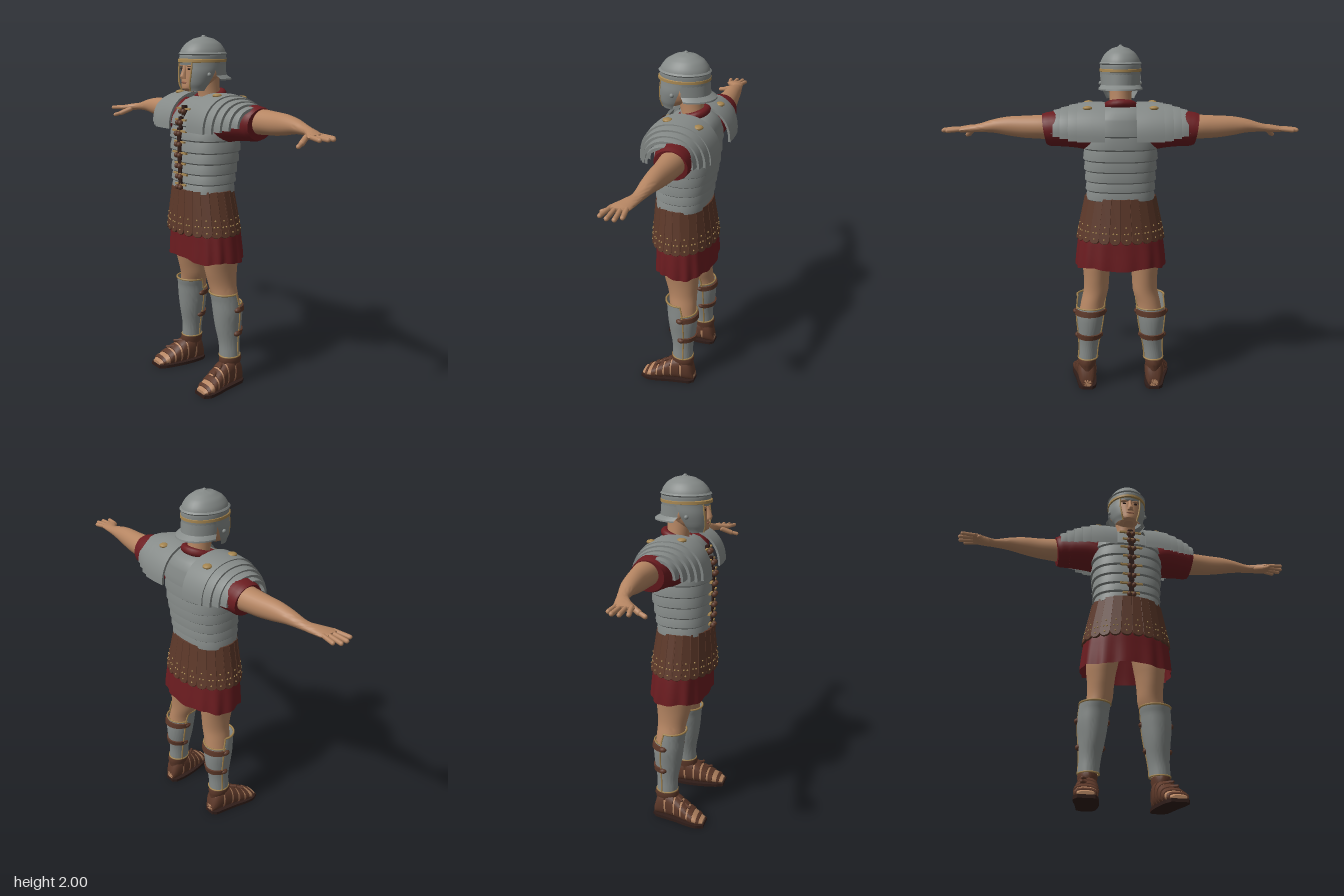
import * as THREE from 'three';
import { mergeGeometries, toCreasedNormals } from 'three/addons/utils/BufferGeometryUtils.js';

const { PI } = Math, TAU = PI * 2;
const V = (x, y, z) => new THREE.Vector3(x, y, z);
const mat = (name, color, side = THREE.DoubleSide) => Object.assign(new THREE.MeshStandardMaterial({ color, side }), { name });

// A ring is [t, a0, a1, b0, b1]: its place along the axis and its extents (y: a=x b=z, x: a=z b=y, z: a=y b=x)
const place = { y: (t, a, b) => V(a, t, b), x: (t, a, b) => V(t, b, a), z: (t, a, b) => V(b, a, t) };
function ringPoint([t, a0, a1, b0, b1], th, p = 2, axis = 'y') {
  const pw = (v) => Math.sign(v) * Math.pow(Math.abs(v), 2 / p);
  const a = (a0 + a1 + pw(Math.cos(th)) * (a1 - a0)) / 2, b = (b0 + b1 + pw(Math.sin(th)) * (b1 - b0)) / 2;
  return place[axis](t, a, b);
}
const grow = ([t, a0, a1, b0, b1], g) => [t, a0 - g, a1 + g, b0 - g, b1 + g];
// Ring at t, between its neighbours
function ringAt(rings, t) {
  let i = 0;
  while (i < rings.length - 2 && rings[i + 1][0] < t) i++;
  const f = (t - rings[i][0]) / (rings[i + 1][0] - rings[i][0]);
  return rings[i].map((v, k) => v + (rings[i + 1][k] - v) * f);
}
const slice = (rings, t0, t1, g, n = 4) => Array.from({ length: n + 1 }, (_, i) => grow(ringAt(rings, t0 + (t1 - t0) * i / n), g));
// Extra rings along a smooth curve through the given ones
function smooth(rings, n = 4) {
  const out = [], last = rings.length - 1;
  for (let i = 0; i < last; i++) for (let k = 0; k < n; k++) {
    const f = k / n, p0 = rings[Math.max(i - 1, 0)], p1 = rings[i], p2 = rings[i + 1], p3 = rings[Math.min(i + 2, last)];
    out.push(p1.map((v, j) => {
      if (j === 0) return v + (p2[0] - v) * f;
      const c1 = p2[j] - p0[j], c2 = 2 * p0[j] - 5 * v + 4 * p2[j] - p3[j], c3 = 3 * (v - p2[j]) + p3[j] - p0[j];
      return v + 0.5 * f * (c1 + f * (c2 + f * c3));
    }));
  }
  return [...out, rings[last]];
}
// Skin over rings; a part turn leaves an open shell
function loft(rings, { axis = 'y', p = 2, from = 0, to = TAU, seg = 32, cap = true, bend } = {}) {
  const closed = to - from > 6.28, cols = closed ? seg : seg + 1, pos = [], idx = [];
  for (const r of rings) for (let j = 0; j < cols; j++) {
    const th = from + (to - from) * j / seg, q = ringPoint(r, th, p, axis);
    if (bend) bend(q, th);
    pos.push(q.x, q.y, q.z);
  }
  for (let i = 0; i < rings.length - 1; i++) for (let j = 0; j < seg; j++) {
    const a = i * cols + j, b = i * cols + (j + 1) % cols;
    idx.push(a, a + cols, b, b, a + cols, b + cols);
  }
  if (closed && cap) for (const i of [0, rings.length - 1]) {
    const [t, a0, a1, b0, b1] = rings[i], c = pos.length / 3;
    pos.push(...place[axis](t, (a0 + a1) / 2, (b0 + b1) / 2).toArray());
    for (let j = 0; j < seg; j++) {
      const u = i * cols + j, v = i * cols + (j + 1) % cols;
      idx.push(c, i ? v : u, i ? u : v);
    }
  }
  const g = new THREE.BufferGeometry().setIndex(idx);
  g.setAttribute('position', new THREE.Float32BufferAttribute(pos, 3));
  return toCreasedNormals(g, 0.6);
}
const tube = (pts, r) => new THREE.TubeGeometry(new THREE.CatmullRomCurve3(pts), 24, r, 6);
const ball = (q, rx, ry = rx, rz = rx) => new THREE.SphereGeometry(1, 12, 8).scale(rx, ry, rz).translate(q.x, q.y, q.z);
const box = (w, h, d, x, y, z) => new THREE.BoxGeometry(w, h, d).translate(x, y, z);
function capsule(p, q, r) {
  const d = q.clone().sub(p), turn = new THREE.Quaternion().setFromUnitVectors(V(0, 1, 0), d.clone().normalize());
  return new THREE.CapsuleGeometry(r, d.length(), 4, 10).applyQuaternion(turn).translate((p.x + q.x) / 2, (p.y + q.y) / 2, (p.z + q.z) / 2);
}
function mirrored(geo) {
  const g = geo.clone().scale(-1, 1, 1);
  const idx = g.index ? Array.from(g.index.array) : Array.from({ length: g.attributes.position.count }, (_, i) => i);
  for (let i = 0; i < idx.length; i += 3) [idx[i], idx[i + 2]] = [idx[i + 2], idx[i]];
  return g.setIndex(idx);
}

export function createModel() {
  const model = new THREE.Group();
  const steel = mat('steel', 0x858a88), red = mat('red cloth', 0x6b1c20), leather = mat('brown leather', 0x5c3829);
  const skin = mat('skin', 0xb58562, THREE.FrontSide), brass = mat('brass', 0xa5854f), dark = mat('dark sole', 0x2f1d19);
  const lip = mat('lips', 0x8f5a46);
  const add = (name, geo, m) => { const o = new THREE.Mesh(geo, m); o.name = name; model.add(o); };
  const both = (name, geo, m) => { add(name + 'Left', geo, m); add(name + 'Right', mirrored(geo), m); };

  // Head and face
  add('neck', loft([[1.58, -.08, .08, -.11, .04], [1.66, -.06, .06, -.09, .03], [1.78, -.06, .06, -.085, .06]]), skin);
  add('head', loft(smooth([[1.7, -.03, .03, .06, .125], [1.715, -.05, .05, .02, .143], [1.75, -.068, .068, -.05, .142],
    [1.79, -.08, .08, -.085, .138], [1.83, -.084, .084, -.095, .134], [1.9, -.08, .08, -.09, .125]]), { p: 2.3 }), skin);
  add('nose', loft([[1.766, -.02, .02, .11, .158], [1.78, -.018, .018, .11, .164], [1.805, -.012, .012, .11, .155], [1.84, -.011, .011, .11, .142]], { seg: 14 }), skin);
  both('ear', ball(V(.086, 1.8, 0), .012, .03, .02), skin);
  both('brow', ball(V(.034, 1.838, .126), .024, .008, .014), skin);
  both('eye', ball(V(.034, 1.82, .13), .012, .006, .006), dark);
  add('mouth', ball(V(0, 1.747, .141), .024, .005, .006), lip);

  // Helmet
  add('helmetDome', loft(smooth([[1.84, -.11, .11, -.12, .146], [1.88, -.113, .113, -.122, .152], [1.92, -.105, .105, -.113, .142],
    [1.955, -.082, .082, -.088, .112], [1.98, -.048, .048, -.048, .068], [1.992, -.01, .01, 0, .02]])), steel);
  add('helmetKnob', ball(V(0, 1.99, .01), .012, .01, .012), steel);
  add('helmetRidge', loft([[1.893, -.112, .112, -.12, .15], [1.9, -.118, .118, -.126, .157], [1.908, -.11, .11, -.118, .148]]), steel);
  add('helmetBand', loft([[1.854, -.108, .108, -.116, .152], [1.856, -.117, .117, -.125, .161], [1.87, -.116, .116, -.124, .16], [1.876, -.108, .108, -.116, .15]]), brass);
  const cheek = smooth([[1.703, -.078, .078, 0, .138], [1.74, -.095, .095, -.04, .152], [1.8, -.112, .112, -.09, .154], [1.852, -.112, .112, -.12, .15]]);
  both('cheekGuard', loft(cheek, { from: -.15, to: 1, seg: 10 }), steel);
  both('cheekTrim', tube(cheek.map((r) => ringPoint(r, 1)), .005), brass);
  both('cheekRivet', ball(V(.11, 1.79, .05), .012), steel);
  add('neckGuard', loft([[1.758, -.122, .122, -.158, .14], [1.766, -.122, .122, -.156, .14], [1.785, -.108, .108, -.125, .14], [1.85, -.11, .11, -.119, .146]],
    { from: PI + .05, to: TAU - .05 }), steel);
  add('scarf', new THREE.TorusGeometry(.075, .022, 10, 28).rotateX(PI / 2 + .3).translate(0, 1.668, -.03), red);

  // Body armour of overlapping hoops
  const body = [[1.13, -.187, .187, -.122, .155], [1.25, -.192, .192, -.14, .158], [1.38, -.202, .202, -.162, .162], [1.48, -.205, .205, -.172, .162],
    [1.56, -.195, .195, -.176, .148], [1.61, -.175, .175, -.168, .122], [1.645, -.14, .14, -.145, .09], [1.668, -.085, .085, -.11, .05]];
  const edges = [1.14, 1.195, 1.25, 1.31, 1.37, 1.435, 1.51, 1.6];
  const hoops = edges.slice(1).flatMap((y1, i) => [[edges[i], .003], [edges[i] + .006, .01], [(edges[i] + y1) / 2, .007], [y1 - .002, 0]]);
  add('bodyArmour', loft([...hoops.map(([y, g]) => grow(ringAt(body, y), g)), ...body.slice(5)], { p: 2.5, seg: 48 }), steel);

  // Front fastening: strip, brass bars and lace knots
  const strips = [], bars = [], knots = [];
  for (let i = 0; i < 8; i++) {
    const y = 1.172 + i * .06, z = ringAt(body, y)[4];
    strips.push(box(.03, .064, .02, 0, y, z + .006));
    bars.push(box(i % 2 ? .13 : .1, .01, .012, 0, y + .014, z + .01));
    for (const s of [-1, 1]) knots.push(ball(V(s * .014, y, z + .022), .013, .015, .016));
  }
  add('frontStrip', mergeGeometries(strips), dark);
  add('fasteningBars', mergeGeometries(bars), brass);
  add('fasteningKnots', mergeGeometries(knots), leather);

  // Shoulder plates: inner x, outer x, back z, front z, top, bottom
  [[.085, .235, -.215, .188, 1.69, 1.49], [.2, .285, -.202, .168, 1.679, 1.495], [.262, .33, -.183, .145, 1.665, 1.505],
    [.305, .37, -.165, .118, 1.652, 1.515], [.35, .405, -.15, .088, 1.636, 1.53]].forEach(([x0, x1, z0, z1, top, low], i) => {
    const r = (x, g) => grow([x, z0, z1, 2 * low - top, top], g);
    both('shoulderPlate' + (i + 1), loft([r(x0, -.012), r(x0, 0), r((x0 + x1) / 2, .002), r(x1, -.004), r(x1, -.018)],
      { axis: 'x', p: 2.2, to: PI, seg: 24 }), steel);
  });
  const rivets = [1.3, 2.1].map((th) => ball(ringPoint([.18, -.215, .188, 1.29, 1.69], th, 2.2, 'x'), .026, .012, .026));
  both('shoulderRivets', mergeGeometries(rivets), brass);

  // Sleeves, arms and hands
  both('sleeve', loft(smooth([[.15, -.14, .09, 1.42, 1.6], [.24, -.155, .08, 1.44, 1.64], [.34, -.155, .055, 1.45, 1.645],
    [.4, -.152, .038, 1.452, 1.637], [.42, -.15, .03, 1.46, 1.63]]), { axis: 'x', bend: (q) => { q.x += (q.y - 1.55) * .15 * (q.x > .35); } }), red);
  both('arm', loft(smooth([[.3, -.14, .01, 1.48, 1.63], [.43, -.135, 0, 1.492, 1.625], [.53, -.122, -.008, 1.498, 1.62], [.62, -.108, -.01, 1.51, 1.615],
    [.7, -.095, -.014, 1.525, 1.6], [.79, -.074, -.014, 1.528, 1.574], [.84, -.063, .016, 1.523, 1.566], [.89, -.052, .052, 1.521, 1.556],
    [.915, -.04, .052, 1.526, 1.55]]), { axis: 'x', seg: 24 }), skin);
  const fingers = [[-.036, .96, -.046], [-.011, .988, -.02], [.014, .99, .017], [.038, .975, .056]].map(([z, x, tz]) => capsule(V(.89, 1.54, z), V(x, 1.534, tz), .0115));
  fingers.push(capsule(V(.835, 1.532, .005), V(.862, 1.507, .06), .015), capsule(V(.862, 1.507, .06), V(.878, 1.497, .095), .0115));
  both('fingers', mergeGeometries(fingers), skin);

  // Tunic skirt with folds, open below
  const fold = (q, th) => {
    const k = Math.max(0, 1.05 - q.y) / .3, f = 1 + .025 * k * Math.cos(th * 14 + 2 * Math.sin(th));
    q.set(q.x * f, q.y + .008 * k * Math.sin(th * 5), q.z * f);
  };
  add('tunicSkirt', loft(smooth([[.755, -.258, .258, -.168, .164], [.86, -.25, .25, -.16, .162], [.95, -.235, .235, -.15, .16], [1.1, -.19, .19, -.12, .145]]),
    { p: 2.4, seg: 96, cap: false, bend: fold }), red);

  // Leather strip kilt
  add('kiltLining', loft([[.94, -.24, .24, -.162, .175], [1.15, -.187, .187, -.122, .157]], { cap: false }), leather);
  const s = new THREE.Shape().moveTo(-.024, .252).lineTo(-.03, .03).quadraticCurveTo(-.028, 0, 0, 0).quadraticCurveTo(.028, 0, .03, .03).lineTo(.024, .252);
  const strap = new THREE.ExtrudeGeometry(s, { depth: .009, bevelSize: .002, bevelThickness: .003, bevelSegments: 1, curveSegments: 5 });
  const straps = [], studs = [];
  for (let i = 0; i < 24; i++) {
    const th = (i + .5) / 24 * TAU, c = Math.cos(th), n = Math.sin(th);
    const p0 = V(.191 * c, 1.155, .018 + .148 * n), p1 = V(.244 * c, .908, .01 + .178 * n);
    const u = p0.clone().sub(p1).normalize(), t = u.clone().cross(V(c / .25, 0, n / .18)).normalize();
    const m = new THREE.Matrix4().makeBasis(t, u, t.clone().cross(u)).setPosition(p1);
    straps.push(strap.clone().applyMatrix4(m));
    for (const [x, y] of [[0, .025], [-.01, .06], [.01, .06], [0, .095]]) studs.push(ball(V(x, y, .012), .005).applyMatrix4(m));
  }
  add('kiltStraps', mergeGeometries(straps), leather);
  add('kiltStuds', mergeGeometries(studs), brass);

  // Legs
  both('leg', loft(smooth([[.12, .155, .24, -.09, .02], [.3, .135, .235, -.095, .02], [.45, .105, .245, -.112, .035], [.53, .092, .232, -.108, .052],
    [.6, .072, .217, -.106, .064], [.68, .066, .216, -.112, .085], [.78, .05, .225, -.12, .108], [.98, .01, .22, -.12, .12]])), skin);

  // Greaves: tall front, shorter back, brass edging and buckled straps
  const greave = smooth([[.18, .138, .254, -.1, .025], [.26, .13, .25, -.102, .027], [.36, .11, .256, -.117, .045], [.45, .096, .264, -.122, .056],
    [.52, .09, .26, -.112, .062], [.565, .084, .256, -.1, .07]]);
  const g0 = -.3, g1 = PI + .3;
  const arc = (r, a, b) => Array.from({ length: 13 }, (_, i) => ringPoint(r, a + (b - a) * i / 12));
  both('greaveFront', loft(greave, { from: g0, to: g1 }), steel);
  both('greaveBack', loft(slice(greave, .18, .5, -.002, 12), { from: PI, to: TAU }), steel);
  both('greaveTopTrim', tube(arc(ringAt(greave, .565), g0, g1), .006), brass);
  both('greaveBackTrim', tube(arc(ringAt(greave, .5), PI + .2, TAU - .2), .005), brass);
  both('greaveBottomTrim', tube(arc(greave[0], 0, TAU), .005), brass);
  both('greaveSideTrim', mergeGeometries([g0, g1].map((th) => tube(greave.map((r) => ringPoint(r, th)), .005))), brass);
  for (const y of [.325, .472]) {
    const r = ringAt(greave, y), rim = (t) => grow(ringAt(greave, t), -.004);
    both('calfStrap', loft([rim(y - .016), ...slice(greave, y - .015, y + .015, .008, 2), rim(y + .016)], { from: PI + .1, to: TAU - .1 }), leather);
    both('strapBuckles', mergeGeometries([ball(ringPoint(r, -.12), .018, .016, .022), ball(ringPoint(r, PI + .12), .014, .014, .02)]), leather);
  }

  // Sandalled feet
  const foot = smooth([[-.112, .015, .06, .175, .222], [-.09, .015, .14, .158, .242], [-.03, .015, .165, .152, .254], [.04, .015, .135, .156, .268],
    [.1, .015, .095, .166, .284], [.16, .015, .06, .18, .292], [.2, .015, .036, .2, .276]]);
  both('foot', loft(foot, { axis: 'z', p: 2.4 }), skin);
  [[-.112, -.045], [-.032, .015], [.026, .058], [.07, .1], [.112, .138], [.165, .18]].forEach(([z0, z1], i) =>
    both('sandalBand' + (i + 1), loft(slice(foot, z0, z1, .006), { axis: 'z', p: 2.4 }), leather));
  const laces = [.035, .085].map((z) => {
    const r = ringAt(foot, z), x = (r[3] + r[4]) / 2;
    return capsule(V(x - .03, r[2] + .004, z - .04), V(x + .03, r[2] - .002, z + .03), .008);
  });
  both('sandalLaces', mergeGeometries(laces), leather);
  both('sandalCuff', loft([[.1, .15, .246, -.1, .025], [.14, .15, .25, -.106, .03], [.155, .146, .256, -.11, .034], [.175, .148, .252, -.106, .03], [.178, .158, .242, -.09, .02]]), leather);
  const side = (k, g) => foot.map((r) => new THREE.Vector2(r[k] + g, r[0] * 1.04));
  const outline = new THREE.Shape([...side(4, .007), ...side(3, -.007).reverse()]);
  both('sole', new THREE.ExtrudeGeometry(outline, { depth: .018, bevelEnabled: false }).rotateX(PI / 2).translate(0, .018, 0), dark);
  return model;
}
